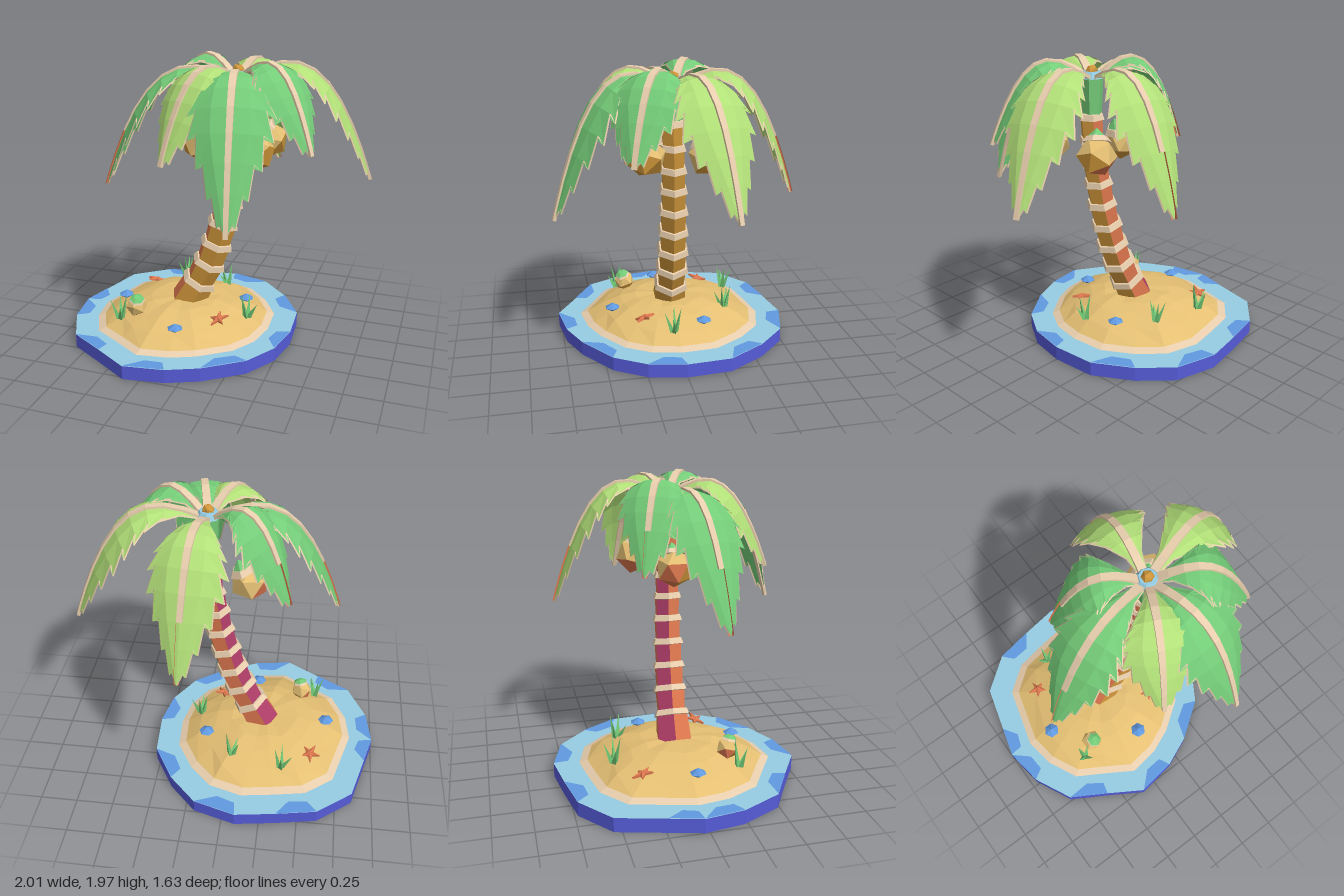
import * as THREE from 'three';

const V = (x, y, z) => new THREE.Vector3(x, y, z);
const mat = (name, color, extra = {}) => Object.assign(new THREE.MeshStandardMaterial({ color, ...extra }), { name });
const open = { side: THREE.DoubleSide };

export function createModel() {
  const M = {
    indigo: mat('deepWater', 0x565cd8), water: mat('shallowWater', 0x96cde2), blue: mat('blue', 0x6099e0, open),
    sand: mat('sand', 0xe4bf73), cream: mat('cream', 0xe9cfae, open), amber: mat('amberBark', 0xcf963a),
    coral: mat('coral', 0xdd774e), magenta: mat('magentaBark', 0xb03e68),
    lime: mat('limeLeaf', 0xb2e078, open), green: mat('greenLeaf', 0x74cc78, open),
  };
  const model = new THREE.Group();

  // Helpers: faceted triangle soup, quads and lofted rings
  const add = (name, geometry, material, parent = model) => {
    const m = new THREE.Mesh(geometry, material);
    m.name = name;
    parent.add(m);
    return m;
  };
  const flat = (g) => {
    const n = g.index ? g.toNonIndexed() : g;
    n.computeVertexNormals();
    return n;
  };
  const soup = (pts) => flat(new THREE.BufferGeometry().setFromPoints(pts));
  const quad = (out, a, b, c, d) => out.push(a, b, c, a, c, d);
  const loft = (rings) => {
    const out = [];
    for (let r = 0; r + 1 < rings.length; r++) {
      const a = rings[r], b = rings[r + 1], n = a.length;
      for (let i = 0; i < n; i++) quad(out, a[i], b[i], b[(i + 1) % n], a[(i + 1) % n]);
    }
    return soup(out);
  };

  // Island: irregular disc, sand mound and rim
  const outline = [[.55, 0], [.5, .25], [.37, .46], [.12, .64], [-.09, .73], [-.36, .77], [-.59, .63], [-.83, .49], [-.96, .23],
    [-1, -.03], [-.86, -.55], [-.63, -.73], [-.36, -.78], [-.09, -.82], [.19, -.74], [.38, -.55], [.53, -.3]];
  const ring = (s, y, wobble = 0) => outline.map(([x, z], i) => {
    const k = s * (1 + wobble * Math.sin(i * 2.4));
    return V(-.22 + (x + .22) * k, y + wobble * .12 * Math.cos(i * 3.7), z * k);
  });
  add('waterBase', loft([ring(0, 0), ring(1, 0), ring(1, .094)]), M.indigo);
  add('waterSurface', loft([ring(1, .094), ring(0, .094)]), M.water);
  add('sandRim', loft([ring(.795, .094), ring(.73, .114)]), M.cream);
  add('sandMound', loft([ring(.73, .114), ring(.6, .175, .05), ring(.44, .228, .07), ring(.3, .255, .05), ring(0, .262)]), M.sand);

  // Darker wave patches along the shore edge
  const waves = [];
  const edge = ring(1, .098);
  const inward = (p, s) => V(-.22 + (p.x + .22) * s, p.y, p.z * s);
  [0, 2, 4, 6, 8, 9, 11, 13, 15].forEach((i) => {
    const a = edge[i], b = edge[(i + 1) % edge.length];
    const at = (t, s) => inward(a.clone().lerp(b, t), s);
    const reach = i === 9 ? .4 : 1;
    quad(waves, at(0, 1), at(.1 * reach, .89), at(.6 * reach, .88), at(reach, 1));
  });
  add('wavePatches', soup(waves), M.blue);

  // Trunk: six-sided segments leaning along a path, with a collar at each joint
  const joints = [[-.2, .22], [-.11, .39], [-.035, .54], [.02, .69], [.065, .845], [.105, 1], [.13, 1.15], [.155, 1.29], [.167, 1.435], [.172, 1.59], [.172, 1.72]]
    .map(([x, y], i) => V(x, y, -.02 + .0055 * i));
  const path = new THREE.CatmullRomCurve3(joints);
  const N = 6;
  const gon = (k, r, lift = 0) => {
    const t = path.getTangent(k / (joints.length - 1));
    const u = V(t.y, -t.x, 0).normalize();
    const c = joints[k].clone().addScaledVector(t, lift);
    return Array.from({ length: N }, (_, j) => {
      const a = .1 + j * 2 * Math.PI / N;
      return c.clone().addScaledVector(u, r * Math.cos(a)).add(V(0, 0, r * Math.sin(a)));
    });
  };
  const radius = (k) => .108 - .0042 * k;
  const bark = { amber: [], coral: [], magenta: [] };
  const faceBark = ['amber', 'amber', 'coral', 'magenta', 'coral', 'amber'];
  for (let k = 0; k < 9; k++) {
    const a = gon(k, k ? radius(k) * .96 : .128), b = gon(k + 1, radius(k + 1) * 1.08);
    faceBark.forEach((c, j) => quad(bark[c], a[j], b[j], b[(j + 1) % N], a[(j + 1) % N]));
    const r = radius(k + 1);
    add('trunkCollar', loft([gon(k + 1, r, -.022), gon(k + 1, r * 1.26, -.018), gon(k + 1, r * 1.1, .02), gon(k + 1, r * .5, .026)]), M.cream);
  }
  for (const c in bark) add(c + 'TrunkFaces', soup(bark[c]), M[c]);

  // Crown at the top of the trunk
  const crown = V(.168, 1.835, .025);
  const shaft = add('crownShaft', flat(new THREE.CylinderGeometry(.075, .062, .27, N)), M.green);
  shaft.position.set(crown.x, 1.71, crown.z);
  const collar = add('crownCollar', flat(new THREE.CylinderGeometry(.055, .08, .04, 8)), M.water);
  collar.position.set(crown.x, 1.855, crown.z);
  const bud = add('crownBud', flat(new THREE.IcosahedronGeometry(.042)), M.amber);
  bud.position.set(crown.x, 1.875, crown.z);

  // Frond: arched folded blade with saw-tooth edges, pale rim and midrib
  const profile = [.1, .22, .5, .72, .9, 1, .96, .73, .45, .2, 0];
  const frond = (deg, length, tip, hump, width, leaf, ribTip) => {
    const g = new THREE.Group();
    g.name = 'frond';
    const steps = profile.length - 1, blade = [], rim = [];
    const drop = crown.y - tip;
    const mid = (t) => {
      const s = 1 - (1 - t) ** 1.5;
      return V(.03 + s * (length - .03), hump * Math.sin(Math.PI * s) - drop * s ** 3.3, 0);
    };
    const frame = (k) => {
      const t = k / steps, c = mid(t);
      const tan = mid(Math.min(1, t + .04)).sub(mid(Math.max(0, t - .04))).normalize();
      const n = V(-tan.y, tan.x, 0);
      const w = width * profile[k];
      const p = (side, f, fwd = 0) => c.clone().add(V(0, 0, side * w * f))
        .addScaledVector(n, -.28 * w * f * f).addScaledVector(tan, fwd);
      return { c, n, t, p };
    };
    const frames = profile.map((_, k) => frame(k));
    for (let k = 0; k < steps; k++) {
      const A = frames[k], B = frames[k + 1];
      for (const s of [1, -1]) {
        const last = k === steps - 1;
        const inA = A.p(s, .87), outB = B.p(s, 1.13, last ? 0 : .035), inB = B.p(s, .87);
        const strip = (a, b, c, d) => (s > 0 ? quad(blade, a, d, c, b) : quad(blade, a, b, c, d));
        strip(A.c, B.c, B.p(s, .5), A.p(s, .5));
        strip(A.p(s, .5), B.p(s, .5), outB, inA);
        const skirt = (p, F) => p.clone().addScaledVector(F.n, -.008).add(V(0, 0, s * .006));
        quad(rim, inA, outB, skirt(outB, B), skirt(inA, A));
        if (!last) quad(rim, outB, inB, skirt(inB, B), skirt(outB, B));
      }
    }
    // Midrib cross-sections, with the outer end in its own colour
    const ribRings = frames.map((F) => {
      const h = .029 - .014 * F.t;
      return [[-h, -.012], [-h * .9, .01], [h * .9, .01], [h, -.012]].map(([z, y]) => F.c.clone().addScaledVector(F.n, y).add(V(0, 0, z)));
    });
    add('frondBlade', soup(blade), leaf, g);
    add('frondRim', soup(rim), M.cream, g);
    add('frondMidrib', loft(ribRings.slice(0, 8)), M.cream, g);
    add('frondMidribTip', loft(ribRings.slice(7)), ribTip, g);
    g.position.copy(crown);
    g.rotation.y = -deg * Math.PI / 180;
    model.add(g);
  };
  frond(-83, .77, 1.12, .12, .215, M.lime, M.coral);
  frond(-15, .86, 1.18, .13, .215, M.lime, M.cream);
  frond(31, .64, 1.45, .145, .205, M.green, M.cream);
  frond(78, .79, 1.05, .115, .23, M.green, M.cream);
  frond(117, .66, 1.38, .12, .205, M.lime, M.cream);
  frond(168, .87, 1.1, .09, .215, M.green, M.coral);
  frond(207, .6, 1.4, .15, .205, M.green, M.coral);

  // Coconut facets: sand above, amber underneath, coral on the lower back
  const nutGeometry = (r) => {
    const g = flat(new THREE.IcosahedronGeometry(r));
    const n = g.attributes.normal;
    g.clearGroups();
    for (let i = 0; i < n.count; i += 3) {
      const low = n.getY(i) < -.25, back = n.getX(i) + n.getZ(i) < -.3;
      g.addGroup(i, 3, low ? (back ? 2 : 1) : 0);
    }
    return g;
  };

  // Coconuts: faceted nut, pale cap and a leafy top
  const coconut = (name, x, y, z, r, tiltX, tiltZ, leafBase, leafTop, leafHeight) => {
    const g = new THREE.Group();
    g.name = name;
    add('nut', nutGeometry(r), [M.sand, M.amber, M.coral], g);
    add('nutCap', flat(new THREE.CylinderGeometry(r * .5, r * .74, r * .28, 6)), M.cream, g).position.y = r * .8;
    add('nutLeaf', flat(new THREE.CylinderGeometry(r * leafTop, r * leafBase, r * leafHeight, 6)), M.green, g).position.y = r * (.88 + leafHeight / 2);
    g.position.set(x, y, z);
    g.rotation.set(tiltX, 0, tiltZ);
    model.add(g);
  };
  coconut('hangingCoconut', -.09, 1.385, .01, .13, 0, -.45, .5, .02, .45);
  coconut('hangingCoconut', .325, 1.4, -.17, .13, .3, .3, .5, .02, .45);
  coconut('hangingCoconut', .34, 1.42, .225, .13, -.3, .3, .5, .02, .45);
  coconut('fallenCoconut', -.47, .265, .27, .075, .3, -.2, .68, .3, .26);

  // Blue pebbles
  [[-.66, .02], [-.14, .4], [.18, -.19]].forEach(([x, z], i) => {
    const p = add('bluePebble', flat(new THREE.SphereGeometry(.054, 6, 2)), M.blue);
    p.scale.y = .62;
    p.position.set(x, .212, z);
    p.rotation.y = i;
  });

  // Starfish: raised five-pointed stars
  [[-.56, .2, -.31, .25, .1], [.1, .23, .21, -.2, -.25]].forEach(([x, y, z, rx, rz]) => {
    const star = (s, h) => Array.from({ length: 10 }, (_, i) => {
      const a = i * Math.PI / 5, r = s * (i % 2 ? .026 : .072);
      return V(r * Math.cos(a), h, r * Math.sin(a));
    });
    const m = add('starfish', loft([star(1, -.01), star(1, .004), star(0, .02)]), M.coral);
    m.position.set(x, y, z);
    m.rotation.set(-rx, .4, -rz);
  });

  // Grass tufts: slim cones leaning outward
  [[-.37, .2, -.46], [-.02, .2, -.38], [-.57, .18, .32], [.25, .18, .03]].forEach(([x, y, z], t) => {
    const tuft = new THREE.Group();
    tuft.name = 'grassTuft';
    for (let i = 0; i < 4; i++) {
      const h = .175 - .025 * (i % 3), turn = i * 1.57 + t;
      const cone = new THREE.ConeGeometry(.019, h, 3).translate(0, h / 2, 0);
      const blade = add('grassBlade', flat(cone), M.green, tuft);
      blade.rotation.set(0, turn, -(.2 + .16 * (i % 3)), 'YXZ');
      blade.position.set(.012 * Math.cos(turn), 0, -.012 * Math.sin(turn));
    }
    tuft.position.set(x, y, z);
    model.add(tuft);
  });

  return model;
}
